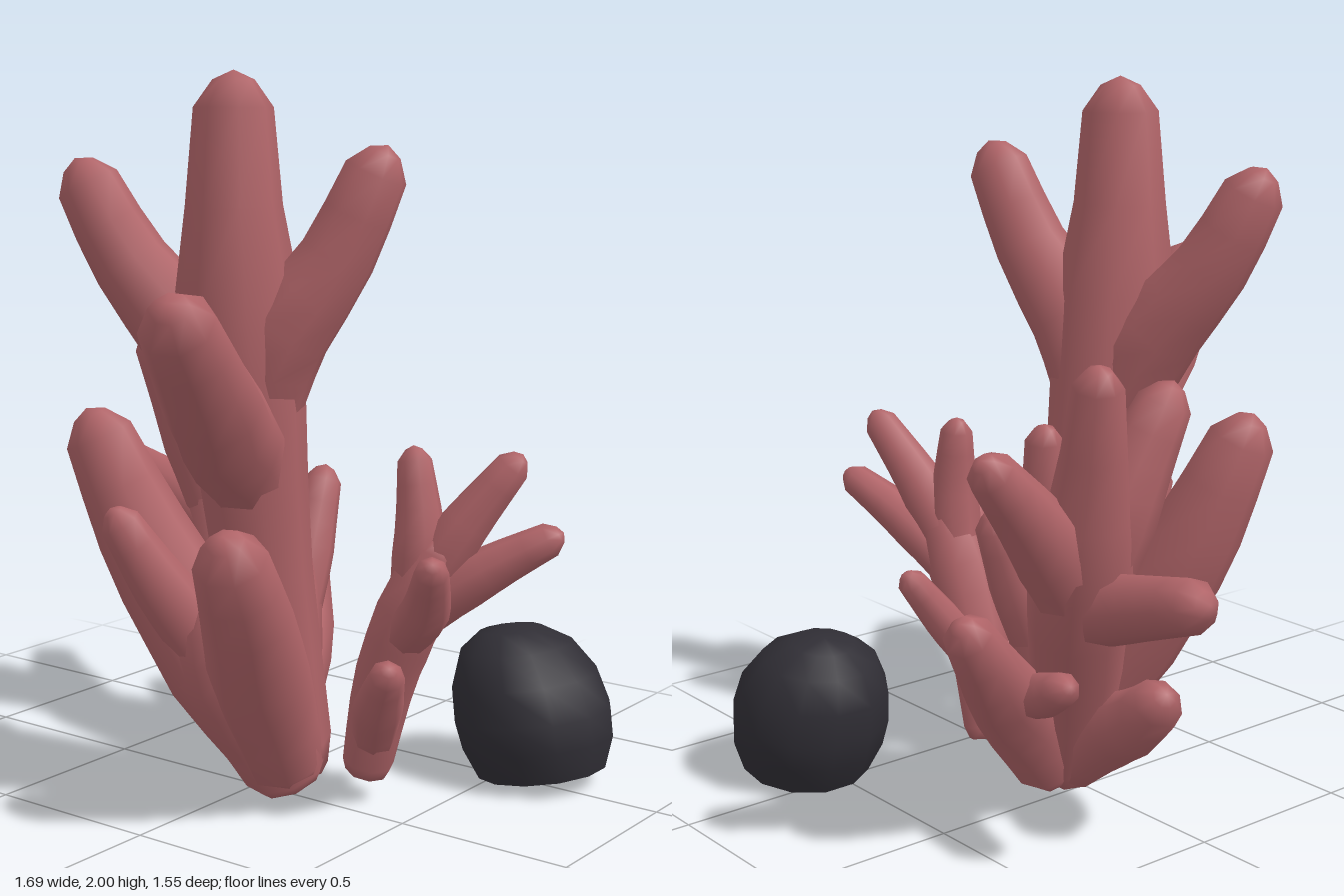
import * as THREE from 'three';
import { mergeVertices } from 'three/addons/utils/BufferGeometryUtils.js';

const SIDES = 8;
const BODY_RINGS = 8;
const coralMat = new THREE.MeshStandardMaterial({ color: 0xb06468 });
const rockMat = new THREE.MeshStandardMaterial({ color: 0x302e35 });

// Welds the seams and gives smooth normals
function smooth(geometry) {
  geometry.deleteAttribute('normal');
  geometry.deleteAttribute('uv');
  const welded = mergeVertices(geometry, 1e-5);
  welded.computeVertexNormals();
  return welded;
}

// Stalk swept through [x, y, z, radius] points, with a blunt faceted tip
function branch(name, ...points) {
  const curve = new THREE.CatmullRomCurve3(points.map(([x, y, z]) => new THREE.Vector3(x, y, z)));
  const length = curve.getLength();
  const last = points.length - 1;
  const radiusAt = (u) => {
    const s = curve.getUtoTmapping(u) * last;
    const k = Math.min(Math.floor(s), last - 1);
    return THREE.MathUtils.lerp(points[k][3], points[k + 1][3], s - k);
  };
  const tipRadius = points[last][3];
  const tipStart = 1 - (0.95 * tipRadius) / length;
  const rings = [[0, 0], [0.005, points[0][3] * 0.85]];
  for (let i = 0; i < BODY_RINGS; i++) {
    const u = THREE.MathUtils.lerp(0.05, tipStart, i / (BODY_RINGS - 1));
    rings.push([u, radiusAt(u)]);
  }
  rings.push([1 - (0.25 * tipRadius) / length, tipRadius * 0.55], [1, 0]);

  const pos = [], index = [];
  const ref = new THREE.Vector3(0, 0, 1);
  rings.forEach(([u, r], i) => {
    const c = curve.getPointAt(u), t = curve.getTangentAt(u);
    const n = ref.clone().addScaledVector(t, -ref.dot(t)).normalize();
    const b = t.clone().cross(n);
    for (let j = 0; j < SIDES; j++) {
      const a = (j / SIDES) * Math.PI * 2;
      const p = c.clone().addScaledVector(n, r * Math.cos(a)).addScaledVector(b, r * Math.sin(a));
      pos.push(p.x, p.y, p.z);
      if (i === 0) continue;
      const k = (j + 1) % SIDES, lo = (i - 1) * SIDES, hi = i * SIDES;
      if (i > 1) index.push(lo + j, lo + k, hi + k);
      if (i < rings.length - 1) index.push(lo + j, hi + k, hi + j);
    }
  });
  const geo = new THREE.BufferGeometry();
  geo.setAttribute('position', new THREE.Float32BufferAttribute(pos, 3));
  geo.setIndex(index);
  const mesh = new THREE.Mesh(smooth(geo), coralMat);
  mesh.name = name;
  return mesh;
}

function cluster(name, ...branches) {
  const group = new THREE.Group();
  group.name = name;
  group.add(...branches);
  return group;
}

export function createModel() {
  const model = new THREE.Group();
  model.name = 'coral';

  // Tall central coral: each fork starts hidden inside the trunk and swells out of it
  model.add(cluster('tallCoral',
    branch('trunk', [0.13, 0.07, 0, 0.12], [0.1, 0.7, 0.1, 0.135], [0.1, 1.15, 0.17, 0.16],
      [0.09, 1.45, 0.2, 0.17], [0.09, 1.72, 0.21, 0.115], [0.09, 2, 0.21, 0.1]),
    branch('rightFork', [0.1, 0.95, 0.14, 0.09], [0, 1.24, 0.21, 0.14], [-0.2, 1.5, 0.29, 0.105], [-0.33, 1.77, 0.36, 0.08]),
    branch('leftFork', [0.1, 0.95, 0.14, 0.09], [0.17, 1.27, 0.15, 0.14], [0.32, 1.5, 0.09, 0.105], [0.45, 1.81, 0.03, 0.08]),
    branch('frontFork', [0.09, 0.82, 0.1, 0.08], [0.13, 1.02, 0.26, 0.14], [0.22, 1.17, 0.46, 0.13], [0.33, 1.46, 0.76, 0.09])));

  // Low fan leaning forward
  model.add(cluster('frontCoral',
    branch('fanStem', [0.15, 0.06, 0.04, 0.11], [0.11, 0.3, 0.13, 0.17], [0.08, 0.45, 0.21, 0.17], [0.06, 0.64, 0.3, 0.08]),
    branch('fanRight', [0.14, 0.1, 0.06, 0.1], [0.03, 0.38, 0.17, 0.16], [-0.16, 0.7, 0.25, 0.135], [-0.31, 1.1, 0.35, 0.085]),
    branch('fanLeft', [0.15, 0.1, 0.06, 0.11], [0.19, 0.38, 0.22, 0.14], [0.25, 0.58, 0.35, 0.125], [0.31, 0.86, 0.53, 0.09]),
    branch('fanMiddle', [0.06, 0.4, 0.2, 0.1], [-0.03, 0.64, 0.36, 0.08], [-0.11, 0.87, 0.48, 0.05])));

  // Spreading coral at the right rear
  model.add(cluster('rearCoral',
    branch('rearStem', [-0.05, 0.09, -0.1, 0.09], [-0.2, 0.45, -0.2, 0.125], [-0.36, 0.78, -0.32, 0.14],
      [-0.45, 1.03, -0.36, 0.095], [-0.54, 1.37, -0.41, 0.06]),
    branch('rearFrontFork', [-0.33, 0.66, -0.28, 0.09], [-0.4, 0.94, -0.23, 0.11], [-0.47, 1.28, -0.1, 0.065]),
    branch('rearBackFork', [-0.32, 0.64, -0.27, 0.09], [-0.39, 0.89, -0.45, 0.105], [-0.46, 1.17, -0.71, 0.055]),
    branch('rearSideFork', [-0.26, 0.64, -0.24, 0.09], [-0.45, 0.71, -0.29, 0.095], [-0.85, 0.83, -0.33, 0.065]),
    branch('lowSideStalk', [-0.05, 0.11, -0.1, 0.08], [-0.26, 0.28, -0.12, 0.1], [-0.4, 0.36, -0.15, 0.09], [-0.54, 0.48, -0.18, 0.06]),
    branch('lowBackStalk', [-0.03, 0.11, -0.14, 0.1], [-0.1, 0.34, -0.32, 0.115], [-0.22, 0.52, -0.5, 0.09], [-0.29, 0.71, -0.65, 0.06]),
    branch('lowBackNub', [-0.15, 0.4, -0.35, 0.06], [-0.3, 0.46, -0.38, 0.06], [-0.42, 0.52, -0.4, 0.04])));

  // Thin forked coral behind the trunk
  model.add(cluster('thinCoral',
    branch('thinStalk', [0.08, 0.1, -0.07, 0.08], [0, 0.55, -0.16, 0.09], [-0.06, 0.82, -0.19, 0.07], [-0.1, 1.12, -0.22, 0.05]),
    branch('thinStalkFork', [0.03, 0.38, -0.13, 0.06], [0.01, 0.63, -0.23, 0.075], [0, 0.88, -0.33, 0.05])));

  // Small branching coral on the left
  model.add(cluster('smallCoral',
    branch('smallStem', [0.31, 0.08, -0.1, 0.07], [0.39, 0.38, -0.08, 0.09], [0.48, 0.6, -0.08, 0.1], [0.56, 0.8, -0.1, 0.06]),
    branch('smallUpFork', [0.45, 0.52, -0.08, 0.06], [0.49, 0.74, -0.08, 0.075], [0.46, 1.02, -0.09, 0.042]),
    branch('smallHighFork', [0.47, 0.58, -0.08, 0.07], [0.57, 0.77, -0.12, 0.075], [0.73, 1.01, -0.2, 0.045]),
    branch('smallOuterFork', [0.45, 0.52, -0.08, 0.06], [0.62, 0.67, -0.14, 0.07], [0.84, 0.81, -0.23, 0.042]),
    branch('smallFrontFork', [0.43, 0.48, -0.08, 0.06], [0.57, 0.6, 0.02, 0.07], [0.7, 0.78, 0.18, 0.04]),
    branch('smallLowFork', [0.34, 0.18, -0.09, 0.06], [0.43, 0.32, 0.02, 0.07], [0.54, 0.47, 0.13, 0.042]),
    branch('smallBackFork', [0.37, 0.28, -0.08, 0.06], [0.39, 0.44, -0.2, 0.06], [0.4, 0.61, -0.33, 0.04])));

  // Dark stone leaning over a flat, slightly tilted base
  const profile = [[0.185, 0], [0.22, 0.09], [0.228, 0.17], [0.213, 0.27], [0.165, 0.36], [0.09, 0.41], [0, 0.425]];
  const bodyGeo = new THREE.LatheGeometry(profile.map((p) => new THREE.Vector2(...p)), 12, Math.PI / 12);
  const verts = bodyGeo.attributes.position;
  for (let i = 0; i < verts.count; i++) verts.setX(i, verts.getX(i) - 0.3 * verts.getY(i) ** 2);
  const body = new THREE.Mesh(smooth(bodyGeo), rockMat);
  body.name = 'stoneBody';
  const base = new THREE.Mesh(new THREE.CircleGeometry(0.185, 12, Math.PI / 12), rockMat);
  base.name = 'stoneBase';
  base.rotation.x = Math.PI / 2;
  const stone = new THREE.Group();
  stone.name = 'stone';
  stone.add(body, base);
  stone.position.set(0.615, 0.03, -0.545);
  stone.rotation.z = 0.16;
  model.add(stone);

  return model;
}
